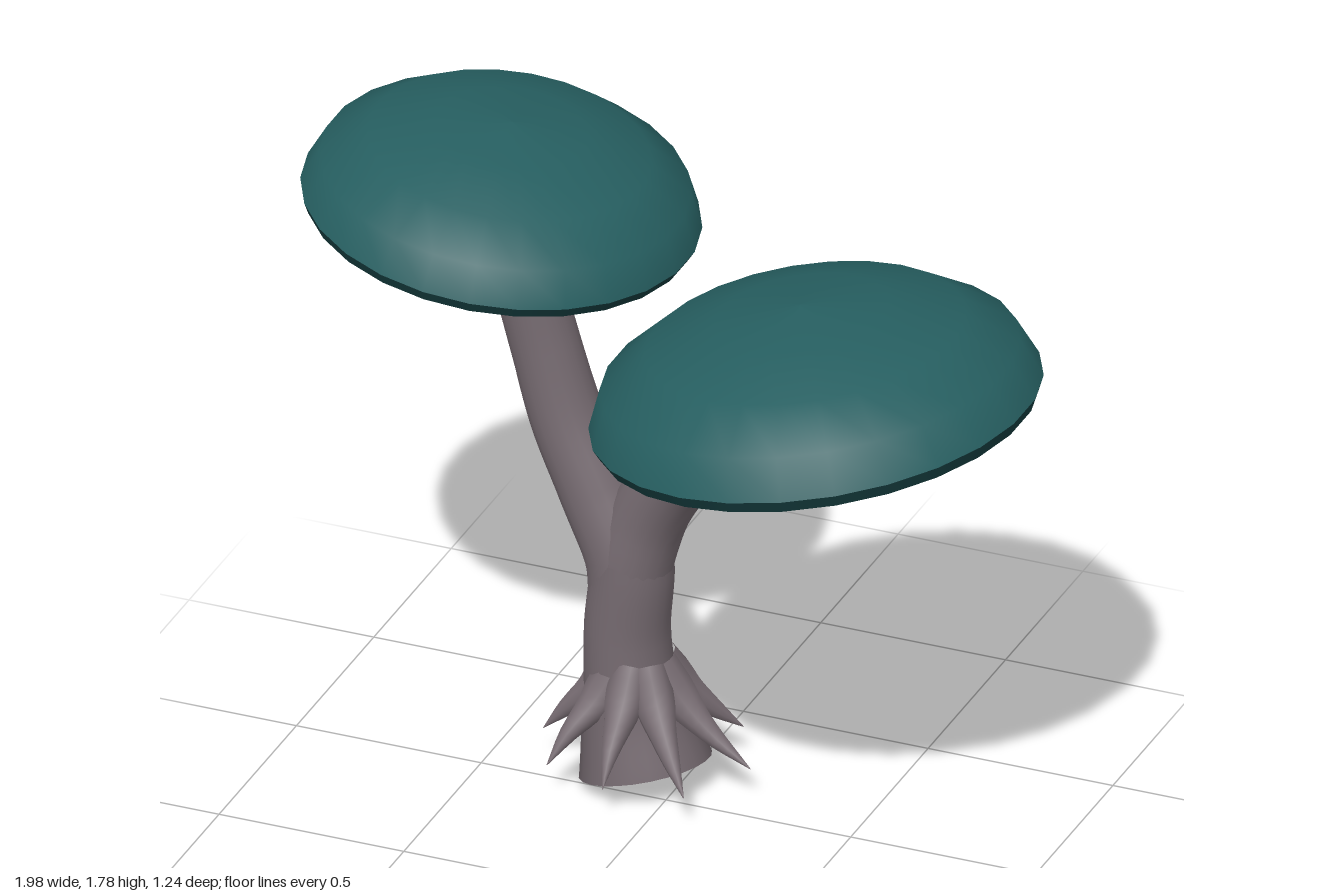
import * as THREE from 'three';

const V = (x, y, z) => new THREE.Vector3(x, y, z);
const mat = (name, color) => {
  const m = new THREE.MeshStandardMaterial({ color });
  m.name = name;
  return m;
};

// Smooth tube whose radius follows a list of evenly spaced values
function taperedTube(points, radii, steps, sides) {
  const curve = new THREE.CatmullRomCurve3(points.map((p) => V(...p)));
  const geo = new THREE.TubeGeometry(curve, steps, 1, sides);
  const pos = geo.attributes.position;
  const v = V(0, 0, 0);
  for (let i = 0; i <= steps; i++) {
    const c = curve.getPointAt(i / steps);
    const f = (i / steps) * (radii.length - 1);
    const k = Math.min(Math.floor(f), radii.length - 2);
    const r = THREE.MathUtils.lerp(radii[k], radii[k + 1], f - k);
    for (let j = 0; j <= sides; j++) {
      const n = i * (sides + 1) + j;
      v.fromBufferAttribute(pos, n).sub(c).multiplyScalar(r).add(c);
      pos.setXYZ(n, v.x, v.y, v.z);
    }
  }
  return { geo, curve };
}

export function createModel() {
  const root = new THREE.Group();
  root.name = 'twinMushroom';
  const stemMat = mat('stem grey', 0x756a70);
  const capMat = mat('cap teal', 0x265e60);
  const underMat = mat('underside dark teal', 0x153c3e);
  const gillMat = mat('gill mint', 0x86d6c5);

  const add = (parent, name, geo, material) => {
    const mesh = new THREE.Mesh(geo, material);
    mesh.name = name;
    parent.add(mesh);
    return mesh;
  };

  // Trunk, closed inside the fork, with a tilted cut base
  const trunk = taperedTube(
    [[-0.085, 0.05, -0.07], [-0.125, 0.2, -0.09], [-0.145, 0.4, -0.097], [-0.13, 0.6, -0.095], [-0.14, 0.8, -0.1]],
    [0.17, 0.142, 0.118, 0.111, 0.108, 0.107, 0.09, 0.002], 28, 24);
  add(root, 'trunk', trunk.geo, stemMat);
  const base = add(root, 'trunkBase', new THREE.CircleGeometry(0.17, 24), stemMat);
  base.position.copy(trunk.curve.getPointAt(0));
  base.quaternion.setFromUnitVectors(V(0, 0, 1), trunk.curve.getTangentAt(0).negate());

  // Two branches
  const branches = [
    ['rightBranch', [[-0.14, 0.48, -0.095], [-0.155, 0.62, -0.1], [-0.24, 0.79, -0.12], [-0.325, 0.96, -0.135],
      [-0.385, 1.15, -0.14], [-0.425, 1.3, -0.135], [-0.47, 1.46, -0.125], [-0.5, 1.57, -0.12]]],
    ['leftBranch', [[-0.14, 0.48, -0.095], [-0.125, 0.62, -0.095], [-0.09, 0.74, -0.1], [-0.03, 0.85, -0.09],
      [0.06, 0.96, -0.065], [0.18, 1.065, -0.035], [0.32, 1.17, 0.01], [0.43, 1.28, 0.045]]],
  ];
  for (const [name, path] of branches) {
    add(root, name, taperedTube(path, [0.1, 0.102, 0.096, 0.09, 0.088, 0.09], 32, 20).geo, stemMat);
  }

  // Pointed roots around the base
  const rootReach = [0.3, 0.29, 0.24, 0.25, 0.26, 0.24, 0.26, 0.28];
  rootReach.forEach((reach, i) => {
    const a = (i / rootReach.length) * Math.PI * 2;
    const at = (r, y) => [-0.105 + Math.cos(a) * r, y, -0.08 + Math.sin(a) * r];
    const path = [at(0.05, 0.34), at(0.11, 0.25), at(0.19, 0.17), at(reach, 0.09)];
    add(root, 'root' + (i + 1), taperedTube(path, [0.05, 0.055, 0.036, 0.02, 0.001], 10, 10).geo, stemMat);
  });

  // Cap shapes, modelled at the size of the larger cap
  const R = 0.575;
  const profile = (pts) => new THREE.LatheGeometry(pts.map((p) => new THREE.Vector2(...p)), 26);
  const domePts = [0, 1, 2, 3, 4].map((i) => {
    const a = (i * Math.PI) / 8;
    return [i === 4 ? 0 : R * Math.cos(a), 0.27 * Math.sin(a)];
  });
  const domeGeo = profile(domePts);
  const rimGeo = profile([[0.56, -0.032], [R, 0]]);
  const underGeo = profile([[0, 0.09], [0.2, 0.07], [0.4, 0.02], [0.56, -0.032]]);

  // One gill blade: a thin fin filling the hollow below the cap
  const fin = new THREE.Shape();
  fin.moveTo(0.08, -0.05);
  fin.lineTo(0.51, -0.052);
  fin.lineTo(0.54, -0.025);
  fin.lineTo(0.4, 0.025);
  fin.lineTo(0.2, 0.075);
  fin.lineTo(0.08, 0.085);
  const gillGeo = new THREE.ExtrudeGeometry(fin, { depth: 0.016, bevelEnabled: false });
  gillGeo.translate(0, 0, -0.008);
  // Narrow each blade towards its outer tip
  const gp = gillGeo.attributes.position;
  for (let i = 0; i < gp.count; i++) {
    if (gp.getX(i) > 0.45) gp.setZ(i, gp.getZ(i) * 0.45);
  }
  gillGeo.computeVertexNormals();

  const caps = [
    ['rightCap', V(-0.495, 1.537, -0.118), -0.132, 0.88],
    ['leftCap', V(0.425, 1.247, 0.045), 0.158, 1],
  ];
  for (const [name, position, tilt, size] of caps) {
    const cap = new THREE.Group();
    cap.name = name;
    cap.position.copy(position);
    cap.rotation.z = tilt;
    cap.scale.setScalar(size);
    add(cap, 'dome', domeGeo, capMat);
    add(cap, 'rim', rimGeo, underMat);
    add(cap, 'underside', underGeo, underMat);
    const count = 32;
    for (let i = 0; i < count; i++) {
      add(cap, 'gill' + (i + 1), gillGeo, gillMat).rotation.y = (i / count) * Math.PI * 2;
    }
    root.add(cap);
  }
  return root;
}
